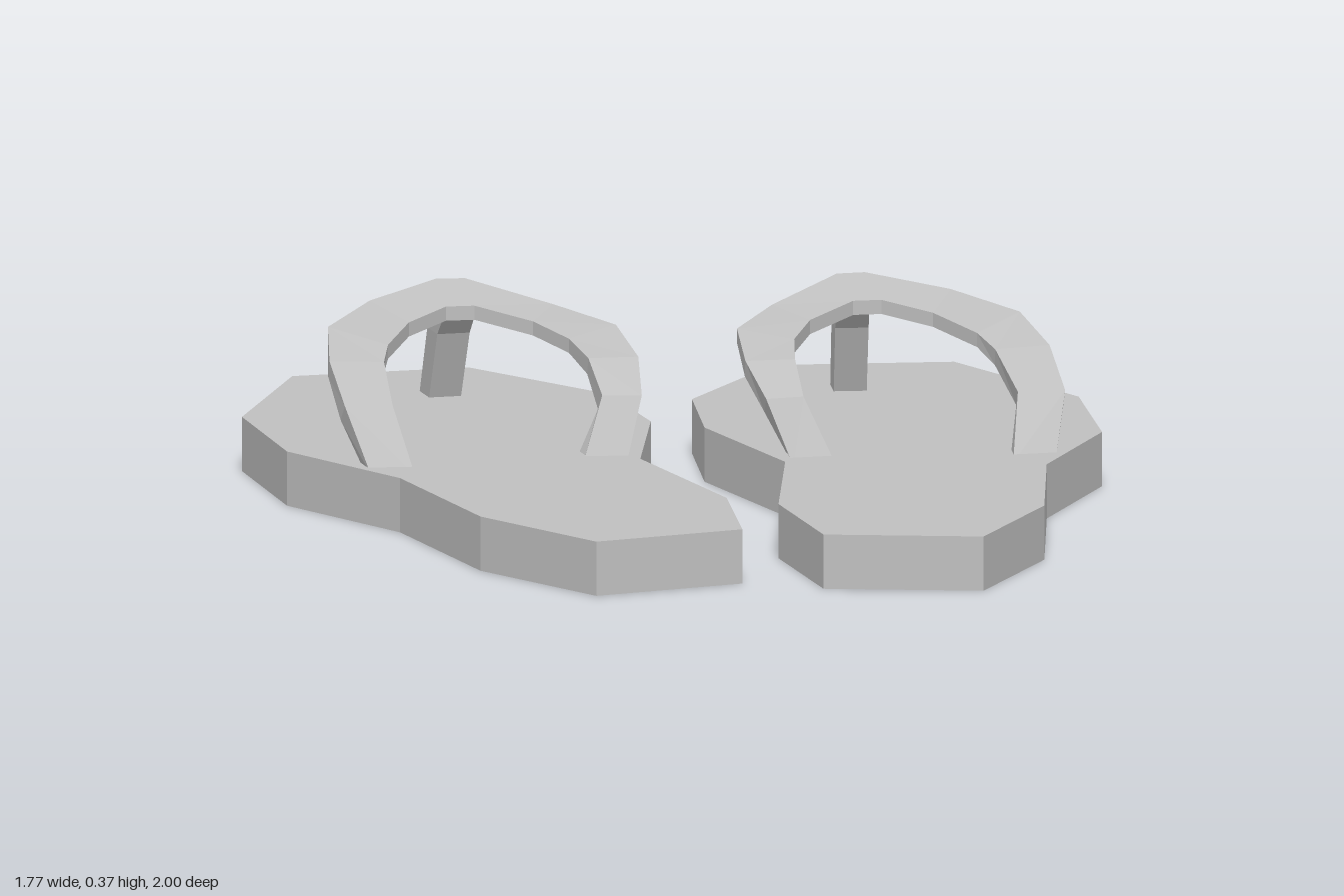
import * as THREE from 'three';

const grey = new THREE.MeshStandardMaterial({ color: 0xc0c0c0 });
grey.name = 'grey rubber';

const SOLE_HEIGHT = 0.115;

// Sole outline as x, z
const outline = [
  [0.27, -0.965], [0.65, -0.965], [0.87, -0.55], [0.88, -0.15], [0.73, 0.2], [0.68, 0.66],
  [0.52, 0.995], [0.19, 0.94], [0.13, 0.59], [0.19, 0.12], [0.06, -0.28], [0.065, -0.6],
];

// Strap stations: outer x, z, y, inner x, z, y, then the underside's shift in y and z
const strapStations = [
  [0.21, 0.085, 0.1, 0.3, 0.07, 0.1, 0, -0.055],
  [0.16, 0.02, 0.23, 0.24, 0, 0.23, -0.035, -0.035],
  [0.13, -0.12, 0.285, 0.235, -0.13, 0.285, -0.035, -0.01],
  [0.13, -0.3, 0.32, 0.245, -0.25, 0.305, -0.03, 0],
  [0.22, -0.47, 0.337, 0.29, -0.37, 0.322, -0.03, 0],
  [0.37, -0.62, 0.372, 0.39, -0.47, 0.342, -0.03, 0],
  [0.43, -0.63, 0.372, 0.45, -0.475, 0.342, -0.03, 0],
  [0.6, -0.53, 0.352, 0.55, -0.4, 0.327, -0.03, 0],
  [0.73, -0.38, 0.33, 0.63, -0.27, 0.307, -0.03, 0],
  [0.775, -0.2, 0.292, 0.66, -0.19, 0.287, -0.035, -0.01],
  [0.79, -0.02, 0.23, 0.69, -0.01, 0.23, -0.035, -0.035],
  [0.76, 0.08, 0.1, 0.67, 0.095, 0.1, 0, -0.055],
];

// Toe post stations: y, toe-side z, heel-side z, left x, right x
const postStations = [
  [0.345, -0.61, -0.52, 0.365, 0.43],
  [0.26, -0.68, -0.6, 0.365, 0.435],
  [0.1, -0.74, -0.665, 0.368, 0.437],
];

// Faceted skin over a row of four-cornered rings, closed at both ends
function loft(rings) {
  const positions = [];
  const quad = (a, b, c, d) => [a, b, c, a, c, d].forEach((p) => positions.push(...p));
  for (let i = 0; i < rings.length - 1; i++) {
    for (let k = 0; k < 4; k++) {
      const n = (k + 1) % 4;
      quad(rings[i][k], rings[i][n], rings[i + 1][n], rings[i + 1][k]);
    }
  }
  const first = rings[0], last = rings[rings.length - 1];
  quad(first[0], first[3], first[2], first[1]);
  quad(last[0], last[1], last[2], last[3]);
  const geometry = new THREE.BufferGeometry();
  geometry.setAttribute('position', new THREE.Float32BufferAttribute(positions, 3));
  geometry.computeVertexNormals();
  return geometry;
}

function soleGeometry() {
  const shape = new THREE.Shape(outline.map(([x, z]) => new THREE.Vector2(x, -z)));
  const geometry = new THREE.ExtrudeGeometry(shape, { depth: SOLE_HEIGHT, bevelEnabled: false });
  return geometry.rotateX(-Math.PI / 2);
}

function strapGeometry() {
  return loft(strapStations.map(([ox, oz, oy, ix, iz, iy, dy, dz]) => [
    [ox, oy, oz], [ix, iy, iz], [ix, iy + dy, iz + dz], [ox, oy + dy, oz + dz],
  ]));
}

function postGeometry() {
  return loft(postStations.map(([y, toe, heel, x0, x1]) => [
    [x0, y, toe], [x1, y, toe], [x1, y, heel], [x0, y, heel],
  ]));
}

// Reflected copy, turned slightly outward, with its triangles turned face out again
function reflect(geometry) {
  geometry.translate(-0.075, 0, -0.082).rotateY(-0.165).scale(-1, 1, 1);
  const p = geometry.attributes.position;
  const b = new THREE.Vector3(), c = new THREE.Vector3();
  for (let i = 0; i < p.count; i += 3) {
    b.fromBufferAttribute(p, i + 1);
    c.fromBufferAttribute(p, i + 2);
    p.setXYZ(i + 1, c.x, c.y, c.z);
    p.setXYZ(i + 2, b.x, b.y, b.z);
  }
  geometry.computeVertexNormals();
  return geometry;
}

function createSandal(name, mirrored) {
  const sandal = new THREE.Group();
  sandal.name = name;
  const parts = { sole: soleGeometry(), strap: strapGeometry(), toePost: postGeometry() };
  for (const [part, geometry] of Object.entries(parts)) {
    const mesh = new THREE.Mesh(mirrored ? reflect(geometry) : geometry, grey);
    mesh.name = part;
    sandal.add(mesh);
  }
  return sandal;
}

export function createModel() {
  const model = new THREE.Group();
  model.name = 'sandals';
  model.add(createSandal('leftSandal', false), createSandal('rightSandal', true));
  return model;
}
